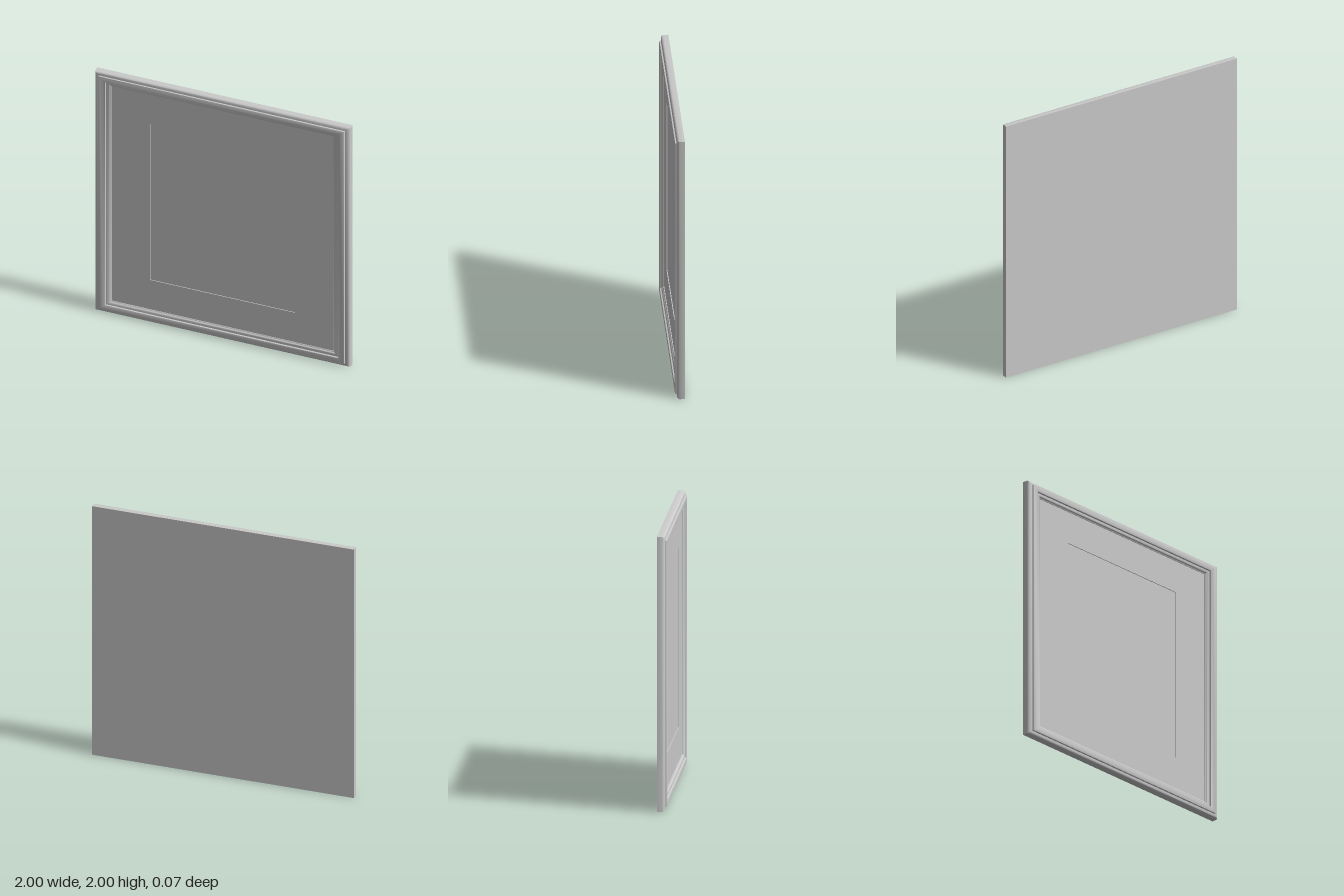
import * as THREE from 'three';
import { toCreasedNormals } from 'three/addons/utils/BufferGeometryUtils.js';

const BACK = -0.035, MAT = 0.003, PICTURE = -0.003;
const SIDE = 1.3; // side mouldings are wider than the top and bottom ones

// Moulding section, outside to inside: [inset, z]
const PROFILE = [
  [0, BACK], [0, 0.004], [0.003, 0.012], [0.009, 0.018], [0.018, 0.021], [0.028, 0.022],
  [0.03, 0.032], [0.036, 0.035], [0.06, 0.035], [0.067, 0.032],
  [0.07, 0.022], [0.085, 0.021], [0.09, 0.018], [0.094, 0.011], [0.1, 0.008], [0.1, MAT - 0.002],
];

// Sweeps the section around the rectangle with mitred corners
function mouldingGeometry() {
  const corners = [[-1, -1], [1, -1], [1, 1], [-1, 1]];
  const point = (c, [inset, z]) => [c[0] * (1 - inset * SIDE), 1 + c[1] * (1 - inset), z];
  const pos = [];
  corners.forEach((c, i) => {
    const d = corners[(i + 1) % 4];
    for (let j = 0; j < PROFILE.length - 1; j++) {
      const p = point(c, PROFILE[j]), q = point(d, PROFILE[j]);
      const r = point(d, PROFILE[j + 1]), s = point(c, PROFILE[j + 1]);
      pos.push(...p, ...q, ...r, ...p, ...r, ...s);
    }
  });
  const geo = new THREE.BufferGeometry();
  geo.setAttribute('position', new THREE.Float32BufferAttribute(pos, 3));
  return toCreasedNormals(geo, 0.7);
}

// Rectangle with slightly rounded corners, centred on the origin
function roundedRect(path, w, h, r) {
  const x = w / 2 - r, y = h / 2 - r;
  path.absarc(x, y, r, 0, Math.PI / 2);
  path.absarc(-x, y, r, Math.PI / 2, Math.PI);
  path.absarc(-x, -y, r, Math.PI, Math.PI * 1.5);
  path.absarc(x, -y, r, Math.PI * 1.5, Math.PI * 2);
  path.closePath();
  return path;
}

export function createModel() {
  const group = new THREE.Group();
  const material = new THREE.MeshStandardMaterial({ color: 0xcccccc });
  const add = (name, geometry, y, z) => {
    const mesh = new THREE.Mesh(geometry, material);
    mesh.name = name;
    mesh.position.set(0, y, z);
    group.add(mesh);
  };

  add('frameMoulding', mouldingGeometry(), 0, 0);

  // Flat back closing the whole frame
  add('backPanel', new THREE.PlaneGeometry(2, 2).rotateY(Math.PI), 1, BACK);

  // Mat board with its window
  const w = 1 - 0.1 * SIDE, h = 0.9;
  const mat = new THREE.Shape([[-w, -h], [w, -h], [w, h], [-w, h]].map(p => new THREE.Vector2(...p)));
  mat.holes.push(roundedRect(new THREE.Path(), 1.14, 1.31, 0.008));
  const depth = MAT - PICTURE;
  add('matBoard', new THREE.ExtrudeGeometry(mat, { depth, bevelEnabled: false, curveSegments: 4 }), 1, PICTURE);

  // Picture set behind the mat
  add('picture', new THREE.PlaneGeometry(1.2, 1.37), 1, PICTURE);

  return group;
}
